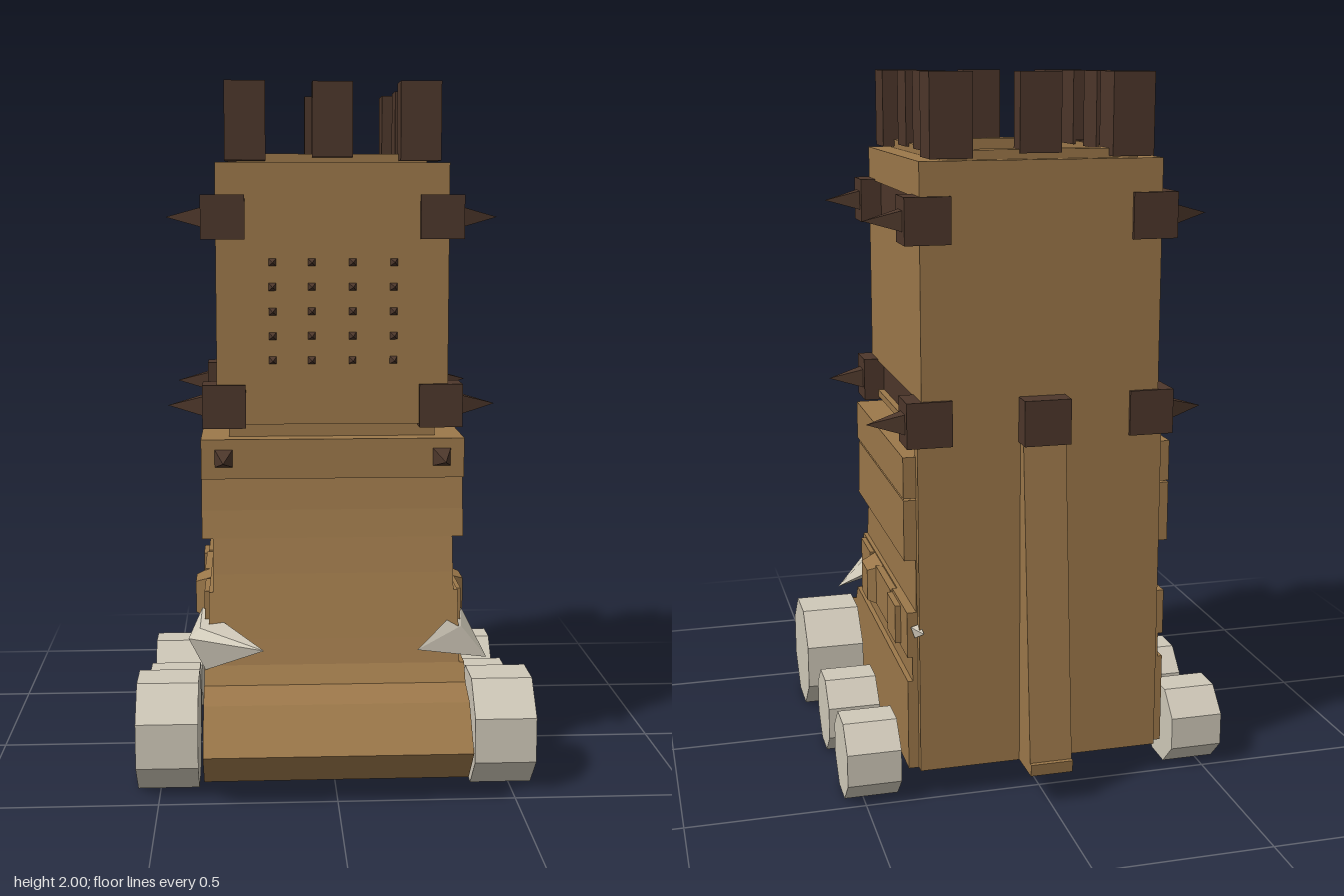
import * as THREE from 'three';
import { ConvexGeometry } from 'three/addons/geometries/ConvexGeometry.js';

const material = (name, color) => {
  const m = new THREE.MeshStandardMaterial({ color });
  m.name = name;
  return m;
};

export function createModel() {
  const root = new THREE.Group();
  root.name = 'siegeTower';
  const wood = material('wood', 0x9c784a);
  const dark = material('darkWood', 0x4d372b);
  const stone = material('paleStone', 0xd0c9b9);

  const add = (name, geo, mat) => {
    const mesh = new THREE.Mesh(geo, mat);
    mesh.name = name;
    root.add(mesh);
    return mesh;
  };
  // Box given by its limits on each axis
  const box = (name, mat, x0, x1, y0, y1, z0, z1) =>
    add(name, new THREE.BoxGeometry(x1 - x0, y1 - y0, z1 - z0), mat)
      .position.set((x0 + x1) / 2, (y0 + y1) / 2, (z0 + z1) / 2);
  // Side profile of [z, y] points, extruded across x
  const across = (name, mat, pts, x0, x1) => {
    const shape = new THREE.Shape(pts.map(([z, y]) => new THREE.Vector2(z, y)));
    const geo = new THREE.ExtrudeGeometry(shape, { depth: x1 - x0, bevelEnabled: false });
    geo.rotateY(-Math.PI / 2).translate(x1, 0, 0);
    return add(name, geo, mat);
  };
  // Square pyramid spike pointing along x (side = +1/-1) or along +z (side = 0)
  const spike = (name, size, length, x, y, z, side) => {
    const geo = new THREE.ConeGeometry(size * Math.SQRT1_2, length, 4, 1).toNonIndexed();
    geo.rotateY(Math.PI / 4).translate(0, length / 2, 0);
    if (side) geo.rotateZ(-side * Math.PI / 2);
    else geo.rotateX(Math.PI / 2);
    geo.computeVertexNormals();
    add(name, geo, dark).position.set(x, y, z);
  };

  // Curved lower hull, stacked in layers of different widths
  const curve = [[0.21, 0.87], [0.222, 0.78], [0.238, 0.7], [0.262, 0.6], [0.276, 0.55],
    [0.312, 0.42], [0.333, 0.35]];
  const layer = (name, top, bottom, w) => {
    const front = curve.filter(([, y]) => y <= top && y >= bottom);
    across(name, wood, [[-0.48, bottom], ...front.slice().reverse(), [-0.48, top]], -w, w);
  };
  layer('upperHull', 0.87, 0.7, 0.38);
  layer('middleHull', 0.7, 0.55, 0.348);
  layer('lowerHull', 0.55, 0.35, 0.36);
  across('baseHull', wood, [[-0.48, 0.09], [0.42, 0.09], [0.455, 0.05], [0.555, 0.155],
    [0.455, 0.27], [0.365, 0.3], [0.333, 0.35], [-0.48, 0.35]], -0.374, 0.374);
  box('frontBand', wood, -0.38, 0.38, 0.875, 0.99, -0.48, 0.24);
  box('neck', wood, -0.3, 0.3, 0.98, 1.06, -0.48, 0.18);
  box('backWall', wood, -0.345, 0.345, 0.09, 1.03, -0.505, -0.47);

  // Upper tower with recessed side beams
  box('towerCore', wood, -0.29, 0.29, 1.03, 1.7, -0.5, 0.21);
  for (const [y0, y1] of [[1.03, 1.05], [1.14, 1.57], [1.68, 1.7]])
    box('sideWall', wood, -0.333, 0.333, y0, y1, -0.48, 0.19);
  box('frontWall', wood, -0.333, 0.333, 1.03, 1.775, 0.16, 0.215);
  box('rearWall', wood, -0.333, 0.333, 1.03, 1.775, -0.505, -0.46);
  box('frontRim', wood, -0.27, 0.27, 1.7, 1.8, 0.12, 0.175);
  box('rearRim', wood, -0.27, 0.27, 1.7, 1.8, -0.475, -0.42);
  for (const s of [-1, 1]) {
    const pair = (name, mat, x0, x1, ...rest) =>
      box(name, mat, Math.min(s * x0, s * x1), Math.max(s * x0, s * x1), ...rest);
    pair('parapet', wood, 0.27, 0.333, 1.69, 1.775, -0.48, 0.18);
    pair('sideRim', wood, 0.22, 0.272, 1.7, 1.8, -0.475, 0.175);
    pair('rimStrip', dark, 0.222, 0.247, 1.79, 1.803, -0.42, 0.14);

    // Beams, corner blocks and their spikes
    for (const y of [1.025, 1.565]) {
      pair('sideBeam', dark, 0.26, 0.315, y, y + 0.115, -0.46, 0.16);
      for (const z of [-0.515, 0.12]) {
        pair('cornerBlock', dark, 0.25, 0.375, y - 0.005, y + 0.12, z, z + 0.11);
        spike('cornerSpike', 0.055, 0.1, s * 0.375, y + 0.057, z + 0.053, s);
      }
    }

    // Battlements
    for (const z of [-0.507, 0.125])
      pair('cornerMerlon', dark, 0.19, 0.305, 1.78, 2, z, z + 0.113);
    for (const z of [-0.297, -0.087])
      pair('sideMerlon', dark, 0.213, 0.28, 1.79, 2, z, z + 0.115);

    // Panels along the hull side
    pair('frontPanel', wood, 0.34, 0.374, 0.425, 0.545, 0.09, 0.24);
    pair('middlePanel', wood, 0.34, 0.38, 0.425, 0.545, -0.27, -0.04);
    pair('rearPanel', wood, 0.34, 0.374, 0.42, 0.55, -0.48, -0.27);
    pair('rearPlate', wood, 0.34, 0.39, 0.43, 0.54, -0.39, -0.27);
    const boss = [];
    for (const y of [0.415, 0.55]) for (const z of [-0.06, 0.085]) {
      boss.push(new THREE.Vector3(s * 0.35, y, z));
      boss.push(new THREE.Vector3(s * 0.405, 0.482 + (y - 0.482) * 0.7, 0.012 + (z - 0.012) * 0.65));
    }
    add('sideBoss', new ConvexGeometry(boss), wood);

    // Eight-sided wheels: radius to flat, x limits, z
    for (const [r, x0, x1, z] of [[0.155, 0.39, 0.565, 0.31], [0.11, 0.4, 0.552, -0.07],
      [0.112, 0.4, 0.552, -0.397]]) {
      const geo = new THREE.CylinderGeometry(r / Math.cos(Math.PI / 8), r / Math.cos(Math.PI / 8),
        x1 - x0, 8).toNonIndexed();
      geo.rotateY(Math.PI / 8).rotateZ(Math.PI / 2);
      geo.computeVertexNormals();
      add('wheel', geo, stone).position.set(s * (x0 + x1) / 2, r + 0.003, z);
    }
    spike('frontSpike', 0.052, 0.1, s * 0.315, 0.935, 0.238, 0);
  }
  box('frontMerlon', dark, -0.057, 0.057, 1.79, 2, 0.15, 0.215);
  box('rearMerlon', dark, -0.057, 0.057, 1.79, 2, -0.48, -0.418);

  // Grid of small studs on the front
  for (const x of [-0.172, -0.06, 0.057, 0.175])
    for (let i = 0; i < 5; i++) spike('stud', 0.022, 0.037, x, 1.495 - i * 0.07, 0.214, 0);

  // Rear buttress with its cap and foot
  across('buttress', wood, [[-0.5, 0.09], [-0.5, 1.03], [-0.535, 1.03], [-0.617, 0.13],
    [-0.63, 0.13], [-0.625, 0.095]], -0.06, 0.06);
  box('buttressCap', dark, -0.065, 0.065, 1.02, 1.145, -0.567, -0.49);

  // Tusks, each tilted differently, and a small shard at the back corner
  const hull = (name, pts) =>
    add(name, new ConvexGeometry(pts.map((p) => new THREE.Vector3(...p))), stone);
  hull('leftTusk', [[0.205, 0.477, 0.63], [0.44, 0.36, 0.32], [0.37, 0.445, 0.29],
    [0.35, 0.4, 0.28], [0.39, 0.46, 0.13]]);
  hull('rightTusk', [[-0.205, 0.48, 0.63], [-0.37, 0.34, 0.34], [-0.418, 0.43, 0.33],
    [-0.385, 0.46, 0.33], [-0.385, 0.46, 0.1]]);
  hull('shard', [[0.34, 0.52, -0.49], [0.355, 0.48, -0.49], [0.335, 0.5, -0.52], [0.365, 0.51, -0.485]]);

  return root;
}
